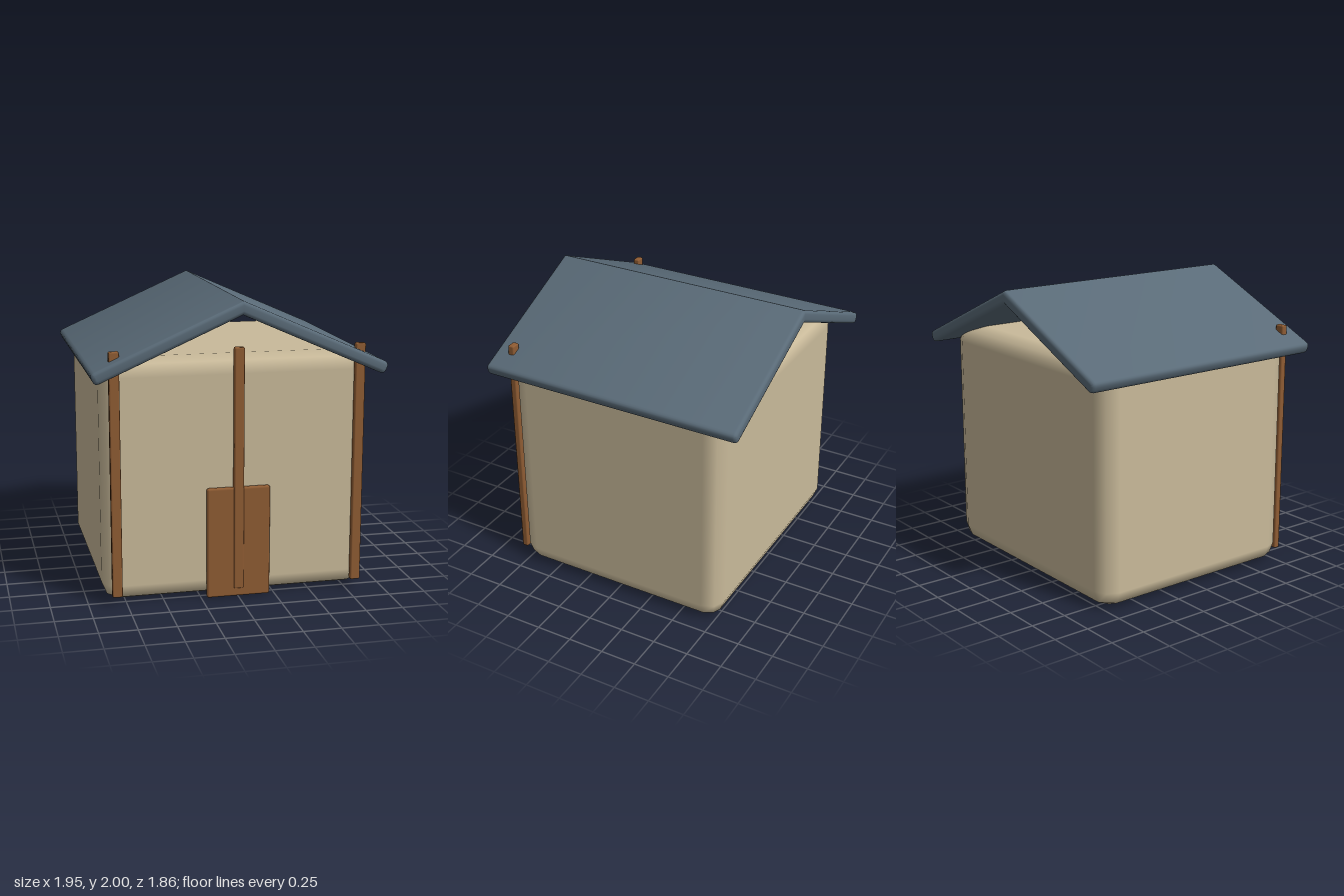
import * as THREE from 'three';
import { toCreasedNormals } from 'three/addons/utils/BufferGeometryUtils.js';
import { RoundedBoxGeometry } from 'three/addons/geometries/RoundedBoxGeometry.js';

function material(name, color) {
  const m = new THREE.MeshStandardMaterial({ color });
  m.name = name;
  return m;
}

export function createModel() {
  const group = new THREE.Group();
  group.name = 'hut';
  const plaster = material('plaster', 0xc9ba9a);
  const slate = material('slate', 0x5a6b78);
  const wood = material('wood', 0x8f5c33);

  const add = (name, geometry, mat, x = 0, y = 0, z = 0) => {
    const mesh = new THREE.Mesh(geometry, mat);
    mesh.name = name;
    mesh.position.set(x, y, z);
    group.add(mesh);
  };
  const box = (w, h, d, r) => new RoundedBoxGeometry(w, h, d, 1, r);

  // Soft-cornered walls
  add('walls', box(1.8, 1.63, 1.57, 0.12), plaster, 0, 0.815, 0);

  // Gable roof: chevron profile with rounded eaves and bevelled gable ends
  const slope = 0.44, thick = 0.083, r = 0.033;
  const a = Math.atan(slope), c = Math.cos(a), s = Math.sin(a);
  const eaveX = 0.982, eaveY = 2 - slope * eaveX;
  const lowX = eaveX - thick * s, lowY = eaveY - thick * c;
  const shape = new THREE.Shape();
  shape.moveTo(0, 2);
  shape.lineTo(-eaveX + r * c, eaveY + r * s);
  shape.quadraticCurveTo(-eaveX, eaveY, -eaveX + r * s, eaveY - r * c);
  shape.lineTo(-lowX - r * s, lowY + r * c);
  shape.quadraticCurveTo(-lowX, lowY, -lowX + r * c, lowY + r * s);
  shape.lineTo(0, 2 - thick / c);
  shape.lineTo(lowX - r * c, lowY + r * s);
  shape.quadraticCurveTo(lowX, lowY, lowX + r * s, lowY + r * c);
  shape.lineTo(eaveX - r * s, eaveY - r * c);
  shape.quadraticCurveTo(eaveX, eaveY, eaveX - r * c, eaveY + r * s);
  const bevel = 0.025, halfDepth = 0.93;
  const roof = new THREE.ExtrudeGeometry(shape, {
    depth: 2 * (halfDepth - bevel), curveSegments: 4,
    bevelThickness: bevel, bevelSize: bevel, bevelOffset: -bevel, bevelSegments: 3,
  });
  roof.translate(0, 0, -halfDepth + bevel);
  add('roof', toCreasedNormals(roof, 0.7), slate);

  // Front door and the three timber posts
  add('door', box(0.43, 0.755, 0.04, 0.015), wood, 0, 0.381, 0.802);
  for (const [name, x] of [['rightPost', -0.815], ['centrePost', 0], ['leftPost', 0.815]]) {
    add(name, box(0.068, 1.63, 0.045, 0.01), wood, x, 0.875, 0.808);
  }
  return group;
}
